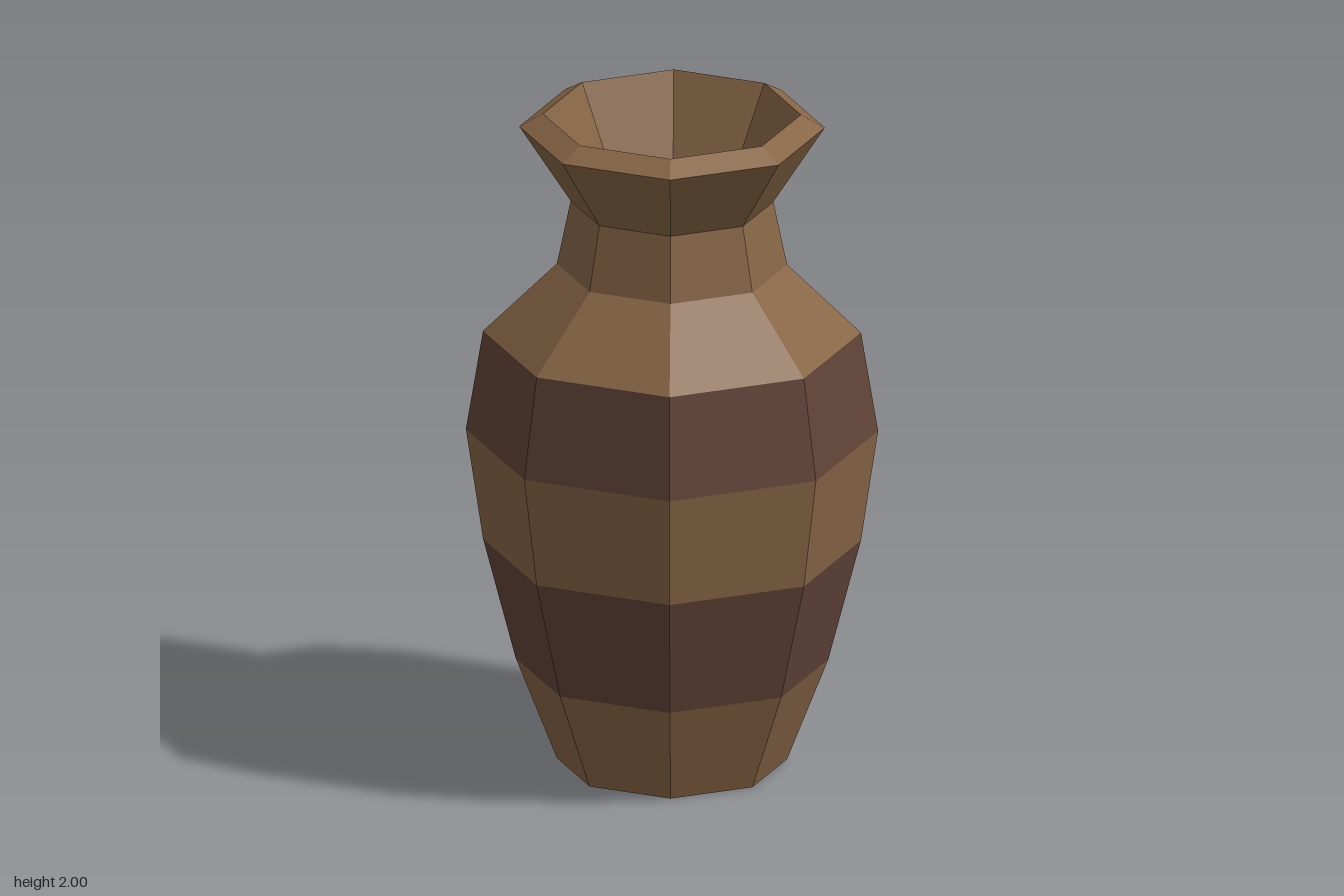
import * as THREE from 'three';

const clay = new THREE.MeshStandardMaterial({ color: 0x876546, flatShading: true });
clay.name = 'tan clay';
const band = new THREE.MeshStandardMaterial({ color: 0x624438, flatShading: true });
band.name = 'dark brown band';

const SIDES = 8;

// Eight-sided ring of faces following a [radius, height] profile
function ring(name, material, profile) {
  const points = profile.map(([r, y]) => new THREE.Vector2(r, y));
  const mesh = new THREE.Mesh(new THREE.LatheGeometry(points, SIDES), material);
  mesh.name = name;
  return mesh;
}

export function createModel() {
  const vase = new THREE.Group();
  vase.name = 'vase';

  vase.add(
    // closed foot and lower body
    ring('foot', clay, [[0, 0], [0.335, 0], [0.455, 0.31]]),
    ring('lowerBand', band, [[0.455, 0.31], [0.55, 0.68]]),
    ring('belly', clay, [[0.55, 0.68], [0.6, 1.02]]),
    ring('upperBand', band, [[0.6, 1.02], [0.55, 1.325]]),
    // shoulder and narrow neck
    ring('shoulder', clay, [[0.55, 1.325], [0.335, 1.535]]),
    ring('neck', clay, [[0.335, 1.535], [0.295, 1.73]]),
    // flared lip with a bevelled top
    ring('lip', clay, [[0.295, 1.73], [0.445, 1.96], [0.375, 2]]),
    // inside of the mouth, down to its floor
    ring('mouth', clay, [[0.375, 2], [0.228, 1.7], [0, 1.7]])
  );
  return vase;
}
